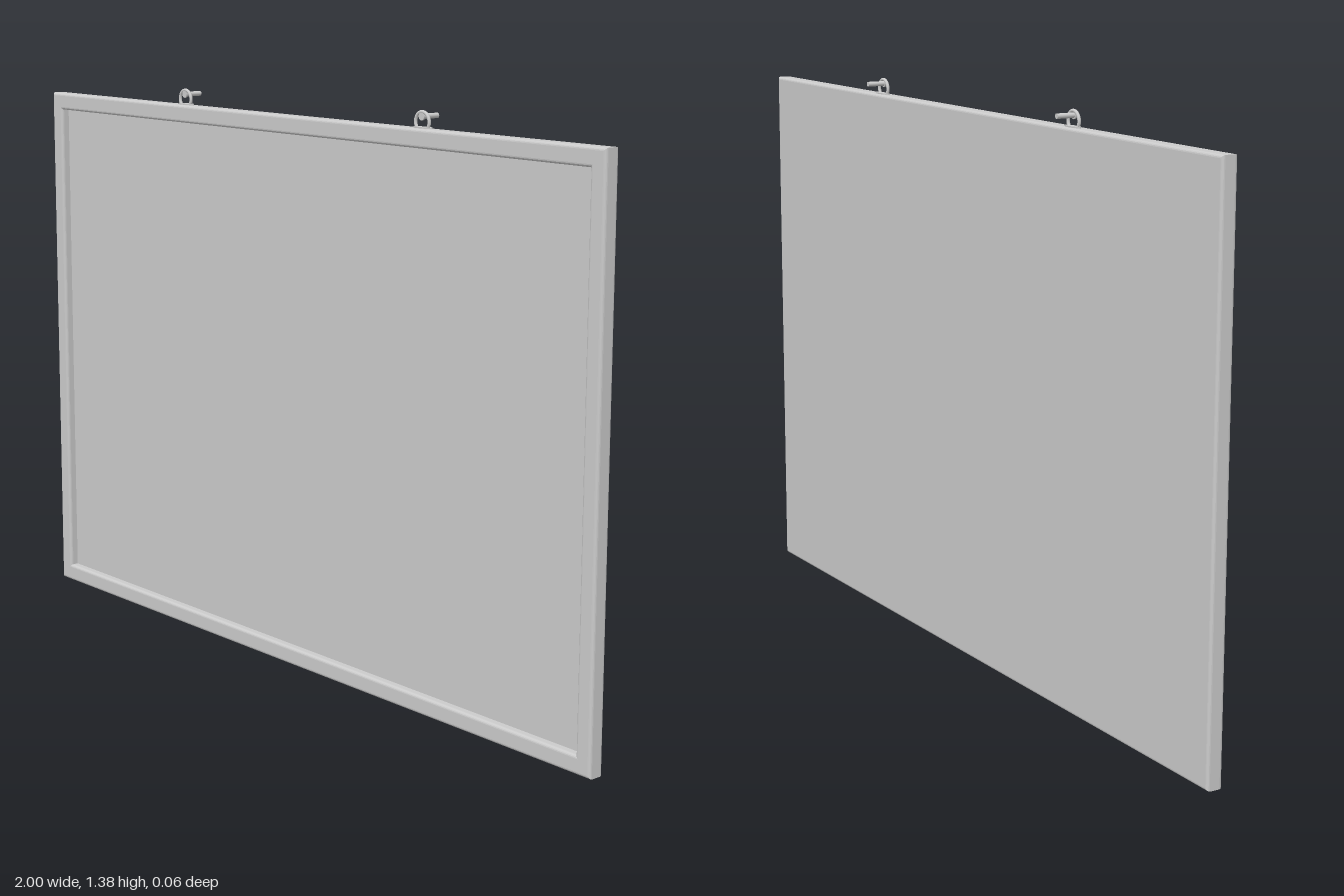
import * as THREE from 'three';

const W = 2, H = 1.337, BORDER = 0.043;
const BACK = -0.006, FRONT = 0.033, ROUND = 0.007;

const grey = new THREE.MeshStandardMaterial({ color: 0xcccccc });

function add(parent, name, geometry, x = 0, y = 0, z = 0) {
  const mesh = new THREE.Mesh(geometry, grey);
  mesh.name = name;
  mesh.position.set(x, y, z);
  parent.add(mesh);
  return mesh;
}

function rectangle(path, x0, y0, x1, y1) {
  path.moveTo(x0, y0);
  path.lineTo(x1, y0);
  path.lineTo(x1, y1);
  path.lineTo(x0, y1);
  path.closePath();
  return path;
}

// Mitred border with softly rounded front and back edges
function frameGeometry() {
  const shape = rectangle(new THREE.Shape(), -W / 2, 0, W / 2, H);
  shape.holes.push(rectangle(new THREE.Path(), -W / 2 + BORDER, BORDER, W / 2 - BORDER, H - BORDER));
  const geometry = new THREE.ExtrudeGeometry(shape, {
    depth: FRONT - BACK - 2 * ROUND,
    bevelEnabled: true,
    bevelThickness: ROUND,
    bevelSize: ROUND,
    bevelOffset: -ROUND,
    bevelSegments: 4,
  });
  return geometry.translate(0, 0, BACK + ROUND);
}

// Base plate, standing ring and the nail that passes through it
function createHanger(name, x) {
  const hanger = new THREE.Group();
  hanger.name = name;
  hanger.position.set(x, H, 0.013);

  const plate = new THREE.CylinderGeometry(0.03, 0.03, 0.004, 32).scale(1, 1, 0.3);
  add(hanger, 'hangerPlate', plate, 0, 0.001, -0.002);

  const ring = new THREE.TorusGeometry(0.022, 0.004, 12, 40);
  add(hanger, 'hangerRing', ring, 0, 0.014, 0);

  const nail = new THREE.CylinderGeometry(0.006, 0.006, 0.044, 20).rotateX(Math.PI / 2);
  add(hanger, 'nail', nail, 0, 0.026, -0.0225);

  const head = new THREE.CylinderGeometry(0.009, 0.009, 0.004, 20).rotateX(Math.PI / 2);
  add(hanger, 'nailHead', head, 0, 0.026, 0.0015);
  return hanger;
}

export function createModel() {
  const model = new THREE.Group();
  model.name = 'framedBoard';

  add(model, 'frame', frameGeometry());

  // Recessed board, closing the back flush with the border
  const inset = BORDER - ROUND;
  const depth = 0.018;
  add(model, 'board', new THREE.BoxGeometry(W - 2 * inset, H - 2 * inset, depth), 0, H / 2, BACK + depth / 2);

  model.add(createHanger('leftHanger', 0.434), createHanger('rightHanger', -0.434));
  return model;
}
